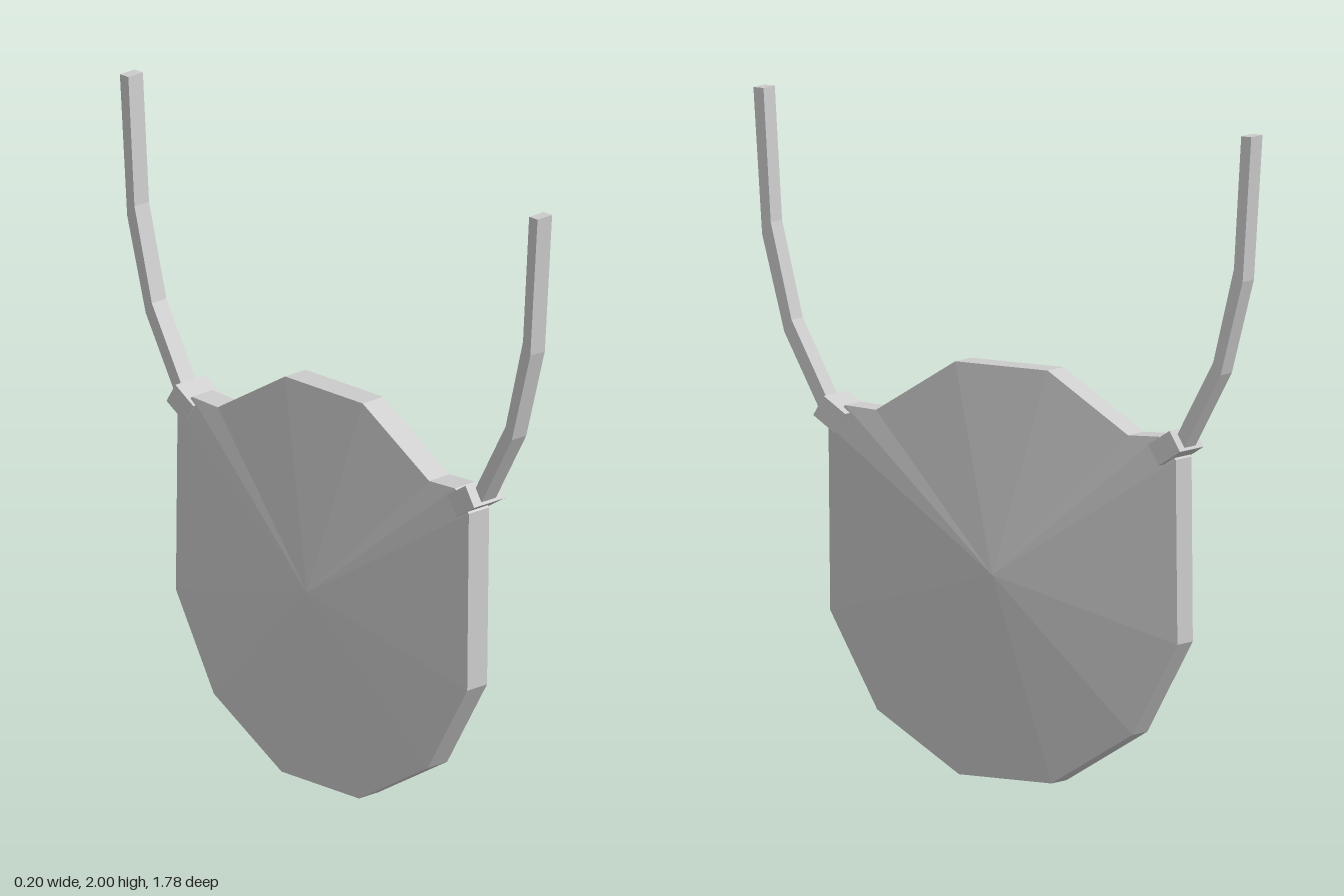
import * as THREE from 'three';

const material = new THREE.MeshStandardMaterial({ color: 0xcccccc, flatShading: true });

// Extrude a profile of [z, y] points across the width, from x0 to x1
function slab(name, points, x0, x1) {
  const shape = new THREE.Shape(points.map(([z, y]) => new THREE.Vector2(z, y)));
  const geometry = new THREE.ExtrudeGeometry(shape, { depth: x1 - x0, bevelEnabled: false });
  geometry.rotateY(-Math.PI / 2).translate(x1, 0, 0);
  const mesh = new THREE.Mesh(geometry, material);
  mesh.name = name;
  return mesh;
}

// Faceted pouch: a rim band closed by a shallow cone on each side
function pouch() {
  const half = [[0.165, 1.24], [0.45, 1.07], [0.56, 1.075], [0.62, 1.01],
    [0.62, 0.455], [0.455, 0.17], [0.165, 0]];
  const outline = [...half, ...half.map(([z, y]) => [-z, y]).reverse()];
  const left = ([z, y]) => [0.03 + 0.016 * y, y, z];
  const right = ([z, y]) => [-0.05 + 0.012 * y, y, z];
  const apexLeft = [0.1, 0.62, 0], apexRight = [-0.105, 0.62, 0];
  const positions = [];
  const triangle = (...corners) => corners.forEach((c) => positions.push(...c));
  outline.forEach((p, i) => {
    const q = outline[(i + 1) % outline.length];
    triangle(apexLeft, left(p), left(q));
    triangle(apexRight, right(q), right(p));
    triangle(right(p), right(q), left(q));
    triangle(right(p), left(q), left(p));
  });
  const geometry = new THREE.BufferGeometry();
  geometry.setAttribute('position', new THREE.Float32BufferAttribute(positions, 3));
  geometry.computeVertexNormals();
  const mesh = new THREE.Mesh(geometry, material);
  mesh.name = 'pouch';
  return mesh;
}

export function createModel() {
  const model = new THREE.Group();
  model.name = 'shoulderPouch';
  model.add(pouch());

  // Strap ends and their clasps, mirrored front to back
  const strap = [[0.889, 2], [0.858, 1.563], [0.779, 1.277], [0.645, 1.04],
    [0.61, 1.06], [0.753, 1.314], [0.827, 1.6], [0.853, 2]];
  for (const [side, s] of [['front', 1], ['back', -1]]) {
    model.add(slab(side + 'Strap', strap.map(([z, y]) => [s * z, y]), -0.015, 0.045));
    const clasp = new THREE.Mesh(new THREE.BoxGeometry(0.125, 0.071, 0.09), material);
    clasp.name = side + 'Clasp';
    clasp.position.set(0.013, 1.047, s * 0.598);
    clasp.rotation.x = -s * THREE.MathUtils.degToRad(32);
    model.add(clasp);
  }
  return model;
}
